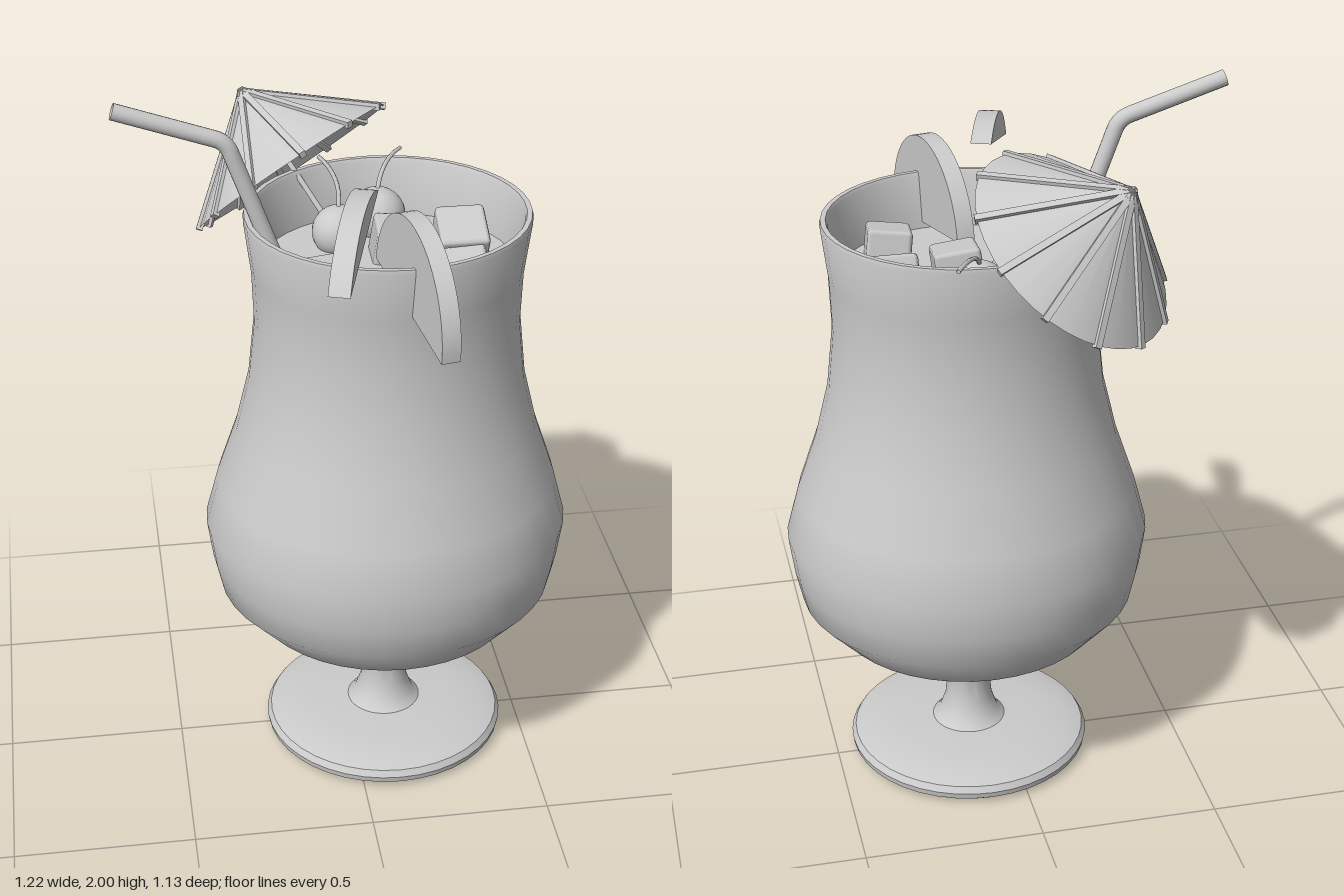
import * as THREE from 'three';
import { toCreasedNormals } from 'three/addons/utils/BufferGeometryUtils.js';
import { RoundedBoxGeometry } from 'three/addons/geometries/RoundedBoxGeometry.js';

const mat = new THREE.MeshStandardMaterial({ color: 0xcccccc });
const thin = new THREE.MeshStandardMaterial({ color: 0xcccccc, side: THREE.DoubleSide });
const CX = 0.105, CZ = 0.012; // axis of the glass
const LIQUID = 1.5;

function add(parent, name, geometry, material = mat) {
  const mesh = new THREE.Mesh(geometry, material);
  mesh.name = name;
  parent.add(mesh);
  return mesh;
}

// Lathe whose depth is squashed by a rule depending on height
function turned(points, squash = () => 1) {
  const g = new THREE.LatheGeometry(points.map(([r, y]) => new THREE.Vector2(r, y)), 40);
  const p = g.attributes.position;
  for (let i = 0; i < p.count; i++) p.setZ(i, p.getZ(i) * squash(p.getY(i)));
  return toCreasedNormals(g, 0.7);
}

// Fruit slice: circular sector between two angles, standing on edge
function fruitSlice(parent, name, from, to, thickness, [cs, cy], radius, a0, a1) {
  const shape = new THREE.Shape();
  shape.moveTo(cs, cy);
  shape.absarc(cs, cy, radius, a0, a1, false);
  shape.closePath();
  const g = new THREE.ExtrudeGeometry(shape, { depth: thickness, bevelEnabled: false, curveSegments: 14 });
  g.translate(0, 0, -thickness / 2);
  const mesh = add(parent, name, toCreasedNormals(g, 0.5));
  mesh.position.set(from[0], 0, from[1]);
  mesh.rotation.y = Math.atan2(-(to[1] - from[1]), to[0] - from[0]);
}

function umbrella() {
  const group = new THREE.Group();
  group.name = 'umbrella';
  const R = 0.303, H = 0.245, ribs = 12;
  const slant = Math.hypot(R, H);
  add(group, 'umbrellaCanopy', new THREE.ConeGeometry(R, H, 36, 1, true), thin).position.y = H / 2;
  for (let i = 0; i < ribs; i++) {
    const pivot = new THREE.Group();
    pivot.name = 'umbrellaRibPivot';
    pivot.rotation.y = (i + 0.25) * 2 * Math.PI / ribs;
    const rib = add(pivot, 'umbrellaRib', new THREE.BoxGeometry(slant + 0.012, 0.018, 0.018));
    rib.position.set(R / 2, H / 2, 0);
    rib.rotation.z = -Math.atan2(H, R);
    group.add(pivot);
  }
  const stick = add(group, 'umbrellaStick', new THREE.CylinderGeometry(0.008, 0.008, 0.55, 10));
  stick.position.y = H - 0.265;
  // Tilt the canopy away over the back right of the rim
  group.position.set(-0.113, 1.663, -0.291);
  group.quaternion.setFromUnitVectors(
    new THREE.Vector3(0, 1, 0), new THREE.Vector3(-0.5, 0.755, -0.43).normalize());
  return group;
}

function straw() {
  const v = (x, y, z) => new THREE.Vector3(x, y, z);
  const a = v(-0.15, 1.42, 0.042), b0 = v(-0.308, 1.855, 0.038);
  const bend = v(-0.318, 1.882, 0.037), b1 = v(-0.345, 1.892, 0.036), end = v(-0.603, 1.978, 0.028);
  const path = new THREE.CurvePath();
  path.add(new THREE.LineCurve3(a, b0));
  path.add(new THREE.QuadraticBezierCurve3(b0, bend, b1));
  path.add(new THREE.LineCurve3(b1, end));
  return new THREE.TubeGeometry(path, 60, 0.022, 16, false);
}

export function createModel() {
  const model = new THREE.Group();
  model.name = 'cocktail';

  const glass = new THREE.Group();
  glass.name = 'glass';
  glass.position.set(CX, 0, CZ);
  model.add(glass);

  // Foot and stem
  add(glass, 'footAndStem', turned([
    [0, 0], [0.325, 0.004], [0.343, 0.018], [0.346, 0.035], [0.335, 0.053], [0.29, 0.068],
    [0.2, 0.075], [0.105, 0.08], [0.085, 0.1], [0.068, 0.15], [0.063, 0.2],
    [0.068, 0.26], [0.085, 0.31], [0.11, 0.356],
  ]));

  // Bowl: outside wall, rim and inside wall
  const squash = y => y < 0.55 ? 1 - 0.065 * (y - 0.355) / 0.195
    : y < 1.45 ? 0.935 : 0.935 + 0.025 * (y - 1.45) / 0.205;
  add(glass, 'bowl', turned([
    [0, 0.355], [0.238, 0.355], [0.382, 0.435], [0.472, 0.53], [0.492, 0.62], [0.507, 0.73],
    [0.472, 0.86], [0.417, 1.02], [0.378, 1.18], [0.36, 1.35], [0.365, 1.5], [0.383, 1.645],
    [0.38, 1.656], [0.366, 1.656], [0.361, 1.645], [0.343, 1.5], [0.338, 1.4],
  ], squash));

  // Drink surface
  const drink = add(glass, 'drink', new THREE.CircleGeometry(0.348, 40));
  drink.rotation.x = -Math.PI / 2;
  drink.scale.y = 0.94;
  drink.position.y = LIQUID;

  // Ice cubes: x, y, z, size, tilt x, turn y, tilt z
  for (const [x, y, z, size, rx, ry, rz] of [
    [0.135, 1.53, -0.04, 0.125, 0.12, -0.05, -0.12],
    [0.317, 1.52, -0.068, 0.135, 0.45, 0, 0],
    [-0.066, 1.51, 0.11, 0.112, -0.12, 0.03, 0.1],
    [0.287, 1.52, 0.16, 0.122, 0.15, -0.1, 0.12],
  ]) {
    const cube = add(model, 'iceCube', new RoundedBoxGeometry(size, size, size, 1, 0.012));
    cube.position.set(x, y, z);
    cube.rotation.set(rx, ry, rz);
  }

  // Cherries with curved stems
  for (const [x, y, z, r, tip] of [
    [0.112, 1.54, -0.215, 0.078, [0.2, 1.665, -0.375]],
    [-0.008, 1.54, -0.125, 0.072, [-0.05, 1.72, -0.22]],
  ]) {
    add(model, 'cherry', new THREE.SphereGeometry(r, 24, 16)).position.set(x, y, z);
    const stem = new THREE.QuadraticBezierCurve3(
      new THREE.Vector3(x, y + r * 0.9, z),
      new THREE.Vector3(x + 0.02, y + r + 0.06, z - 0.06),
      new THREE.Vector3(...tip));
    add(model, 'cherryStem', new THREE.TubeGeometry(stem, 10, 0.006, 6, false), thin);
  }

  // Fruit slices on the front of the rim
  fruitSlice(model, 'fruitWedge', [0.025, 0.175], [-0.095, 0.535], 0.056,
    [0.135, 1.51], 0.312, 0.58, 2.02);
  fruitSlice(model, 'fruitHalfSlice', [0.087, 0.08], [0.175, 0.555], 0.05,
    [0.243, 1.52], 0.246, -0.14, Math.PI - 0.14);

  add(model, 'straw', straw(), thin);
  model.add(umbrella());
  return model;
}
